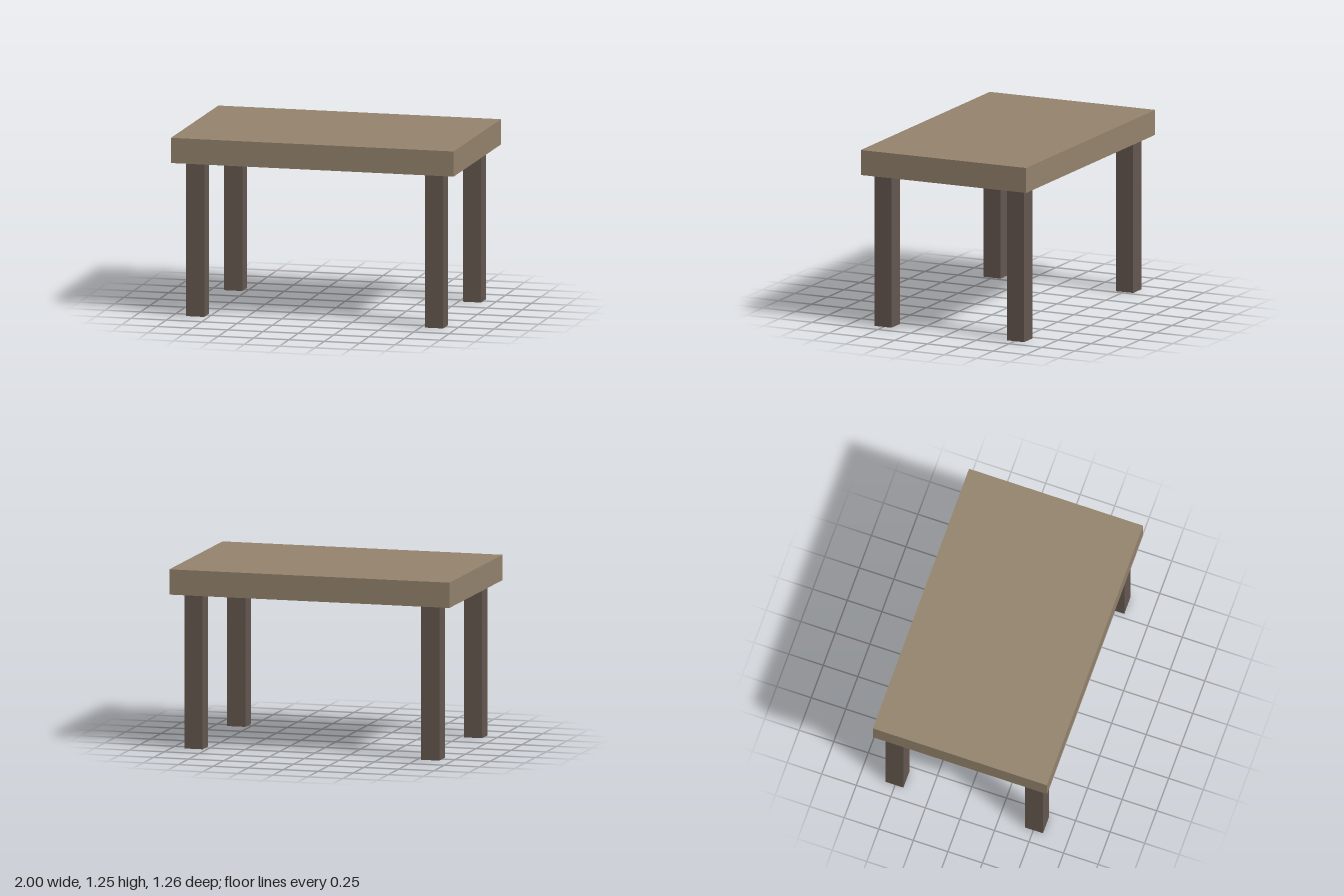
import * as THREE from 'three';

const LEG_HEIGHT = 1.07;
const TOP_THICKNESS = 0.175;
const LEG_WIDTH = 0.13;

export function createModel() {
  const table = new THREE.Group();
  table.name = 'table';

  const topMaterial = new THREE.MeshStandardMaterial({ color: 0x94836d });
  const legMaterial = new THREE.MeshStandardMaterial({ color: 0x655850 });

  // Thick slab top
  const top = new THREE.Mesh(new THREE.BoxGeometry(2, TOP_THICKNESS, 1.26), topMaterial);
  top.name = 'tableTop';
  top.position.y = LEG_HEIGHT + TOP_THICKNESS / 2;
  table.add(top);

  // Four square legs, inset from the corners
  const legGeometry = new THREE.BoxGeometry(LEG_WIDTH, LEG_HEIGHT, LEG_WIDTH);
  for (const [sideName, sx] of [['Left', 1], ['Right', -1]]) {
    for (const [endName, sz] of [['front', 1], ['back', -1]]) {
      const leg = new THREE.Mesh(legGeometry, legMaterial);
      leg.name = `${endName}${sideName}Leg`;
      leg.position.set(sx * 0.845, LEG_HEIGHT / 2, sz * 0.505);
      table.add(leg);
    }
  }

  return table;
}
